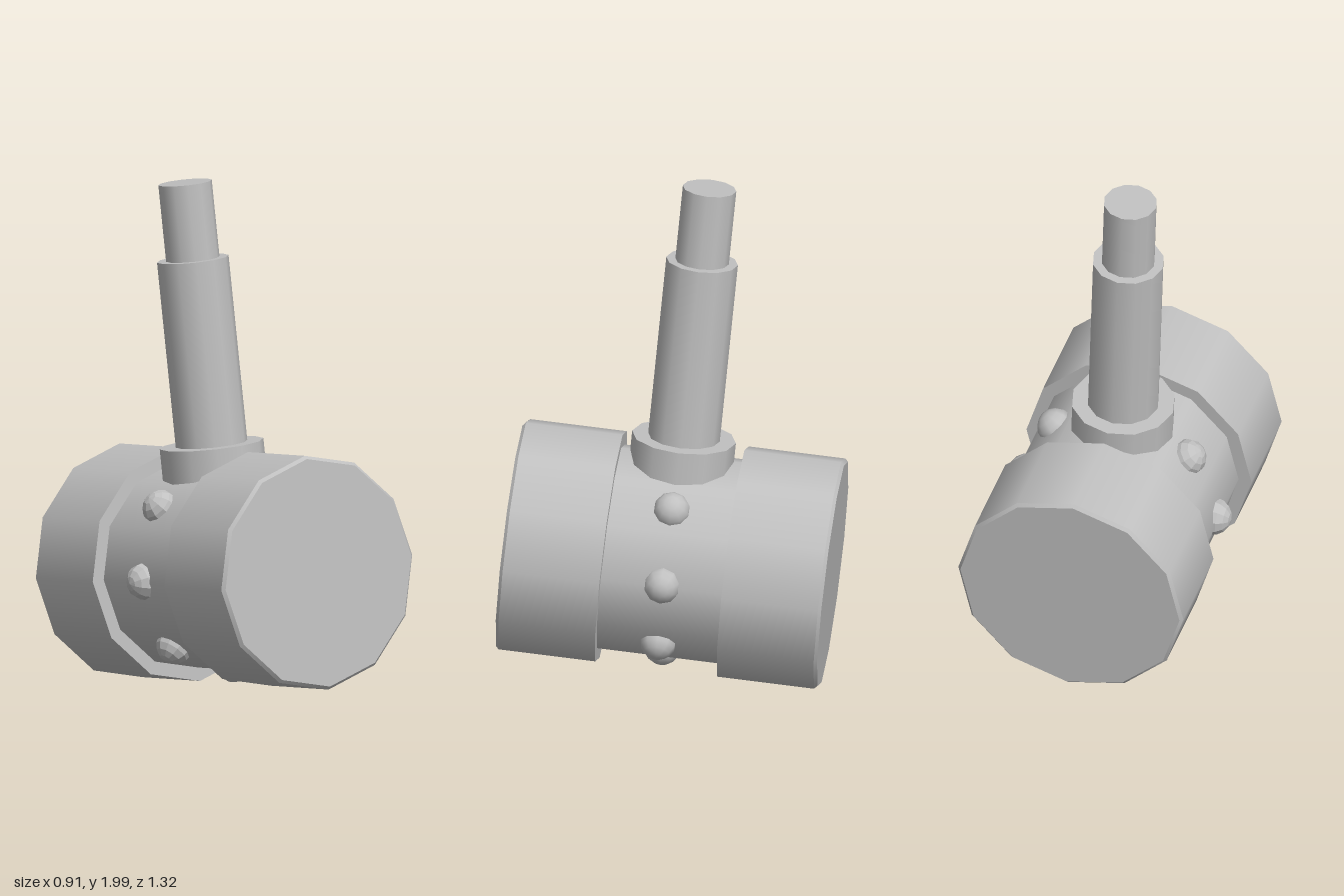
import * as THREE from 'three';

export function createModel() {
  const steel = new THREE.MeshStandardMaterial({ color: 0xc0c0c0 });
  steel.name = 'plainGrey';
  const facetedSteel = steel.clone();
  facetedSteel.flatShading = true;

  const model = new THREE.Group();
  model.name = 'mallet';
  const SIDES = 12;

  // Upright cylinder between two heights
  function post(name, rBottom, rTop, y0, y1, open = false) {
    const geo = new THREE.CylinderGeometry(rTop, rBottom, y1 - y0, SIDES, 1, open);
    geo.translate(0, (y0 + y1) / 2, 0);
    const mesh = new THREE.Mesh(geo, steel);
    mesh.name = name;
    return mesh;
  }

  // Head: core drum along z with a bevelled striking ring at each end
  const head = new THREE.Group();
  head.name = 'head';
  const core = post('headCore', 0.4, 0.4, -0.3, 0.3);
  core.rotation.x = Math.PI / 2;
  head.add(core);
  for (const s of [1, -1]) {
    const end = new THREE.Group();
    end.name = s > 0 ? 'frontStrikingEnd' : 'backStrikingEnd';
    end.add(post('strikingDrum', 0.452, 0.452, 0.235, 0.608));
    end.add(post('bevelledFace', 0.452, 0.44, 0.608, 0.62));
    end.rotation.x = s * Math.PI / 2;
    head.add(end);
  }
  model.add(head);

  // Studs around the core, leaving the top free for the handle
  const studGeo = new THREE.SphereGeometry(0.072, 10, 8);
  for (let i = 1; i < 8; i++) {
    const a = i * Math.PI / 4; // measured from the top toward +x
    const stud = new THREE.Mesh(studGeo, i > 4 ? facetedSteel : steel);
    stud.name = 'stud' + i;
    stud.position.set(Math.sin(a) * 0.375, Math.cos(a) * 0.375, 0);
    stud.rotation.z = -a;
    model.add(stud);
  }

  // Handle: collar, thick grip and thinner tip
  const handle = new THREE.Group();
  handle.name = 'handle';
  handle.add(post('collar', 0.2, 0.2, 0.3, 0.475));
  handle.add(post('grip', 0.138, 0.138, 0.4, 1.19));
  handle.add(post('tip', 0.103, 0.103, 1.15, 1.485));
  model.add(handle);

  // Whole mallet leans back and slightly sideways
  model.rotation.order = 'ZYX';
  model.rotation.x = THREE.MathUtils.degToRad(-5.25);
  model.rotation.z = THREE.MathUtils.degToRad(3.3);
  model.position.set(0, 0.513, 0.002);

  const root = new THREE.Group();
  root.name = 'leaningMallet';
  root.add(model);
  return root;
}
